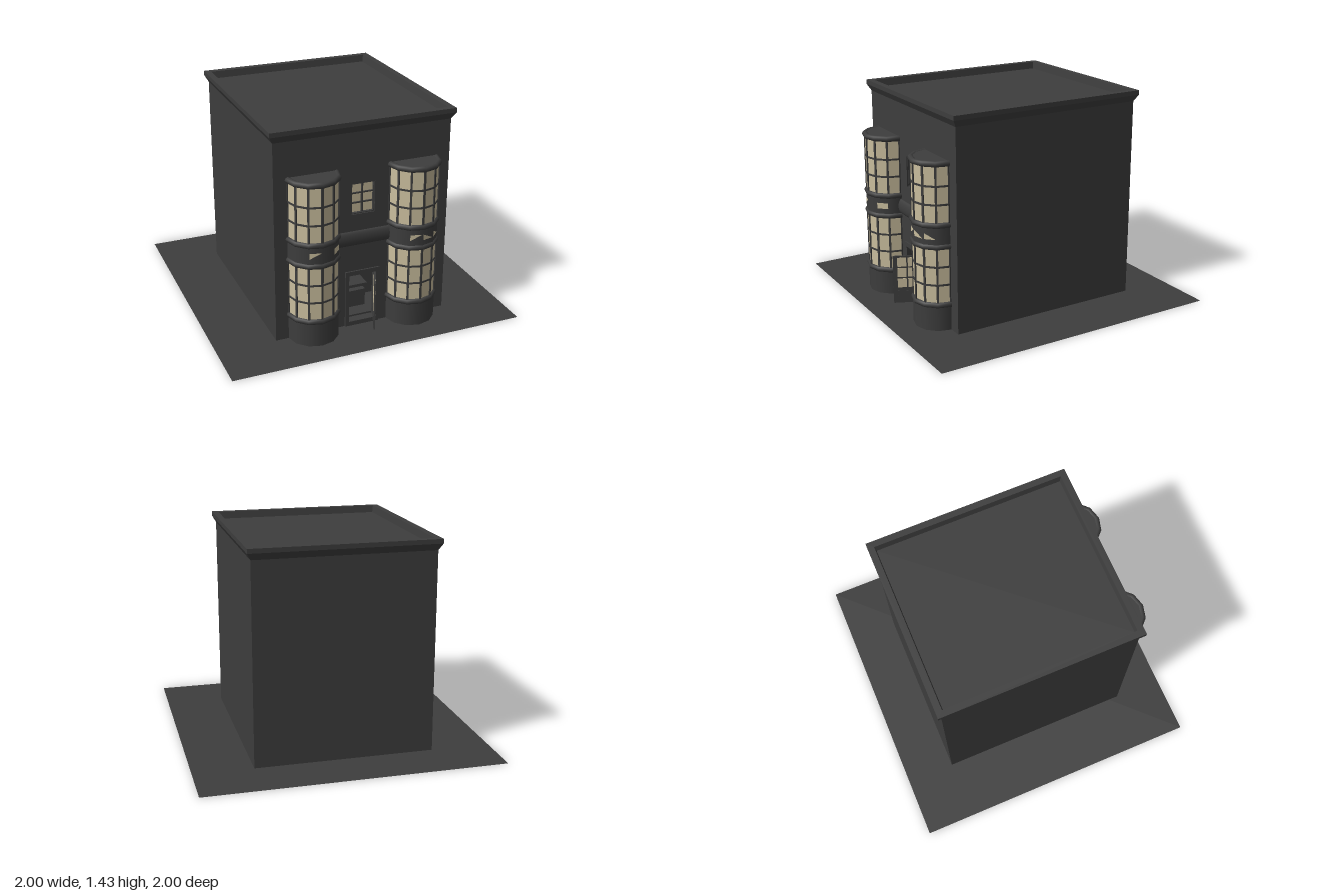
import * as THREE from 'three';

const wallMat = new THREE.MeshStandardMaterial({ color: 0x3d3d3d });
wallMat.name = 'charcoal';
const groundMat = new THREE.MeshStandardMaterial({ color: 0x3d3d3d, side: THREE.DoubleSide });
groundMat.name = 'charcoal ground';
const glassMat = new THREE.MeshStandardMaterial({ color: 0xc9bd9d, side: THREE.DoubleSide });
glassMat.name = 'warm cream glass';

function add(parent, name, geo, mat, x = 0, y = 0, z = 0) {
  const m = new THREE.Mesh(geo, mat);
  m.name = name;
  m.position.set(x, y, z);
  parent.add(m);
  return m;
}
const box = (p, name, w, h, d, x, y, z, mat = wallMat) =>
  add(p, name, new THREE.BoxGeometry(w, h, d), mat, x, y, z);

function rectPath(PathType, x0, y0, x1, y1) {
  return new PathType([[x0, y0], [x1, y0], [x1, y1], [x0, y1]].map(p => new THREE.Vector2(...p)));
}

// Rectangle with a rectangular hole, extruded along z
function frameGeometry(outer, holes, depth) {
  const s = rectPath(THREE.Shape, ...outer);
  holes.forEach(h => s.holes.push(rectPath(THREE.Path, ...h)));
  return new THREE.ExtrudeGeometry(s, { depth, bevelEnabled: false });
}

// Cornice: sweep a profile of [outset, y] around the rectangular plan
function corniceGeometry(hx, hz, profile) {
  const corners = [[1, 1], [1, -1], [-1, -1], [-1, 1]];
  const pos = [];
  const pt = ([sx, sz], [o, y]) => [sx * (hx + o), y, sz * (hz + o)];
  for (let i = 0; i < 4; i++) {
    const c0 = corners[i], c1 = corners[(i + 1) % 4];
    for (let j = 0; j < profile.length - 1; j++) {
      const a = pt(c0, profile[j]), b = pt(c1, profile[j]);
      const c = pt(c1, profile[j + 1]), d = pt(c0, profile[j + 1]);
      pos.push(...a, ...b, ...c, ...a, ...c, ...d);
    }
  }
  const g = new THREE.BufferGeometry();
  g.setAttribute('position', new THREE.Float32BufferAttribute(pos, 3));
  g.computeVertexNormals();
  return g;
}

// Half cylinder of six facets facing +z
const halfRound = (r, h, open = true) =>
  new THREE.CylinderGeometry(r, r, h, 6, 1, open, -Math.PI / 2, Math.PI);

function makeBay(name, x, accents) {
  const bay = new THREE.Group();
  bay.name = name;
  bay.position.set(x, 0, 0.668);
  add(bay, 'bayBase', halfRound(0.168, 0.175, false), wallMat, 0, 0.0875);
  add(bay, 'bayMiddlePanel', halfRound(0.168, 0.14, false), wallMat, 0, 0.64);
  add(bay, 'bayRoof', halfRound(0.168, 0.03, false), wallMat, 0, 1.107);
  for (const [y0, y1] of [[0.175, 0.57], [0.71, 1.1]]) {
    const h = y1 - y0, mid = (y0 + y1) / 2;
    const glass = halfRound(0.163, h).toNonIndexed();
    glass.computeVertexNormals();
    add(bay, 'bayGlass', glass, glassMat, 0, mid);
    for (let i = 1; i < 3; i++)
      add(bay, 'bayCrossBar', halfRound(0.168, 0.012, false), wallMat, 0, y0 + 0.015 + i * (h - 0.03) / 3);
    for (let i = 0; i <= 6; i++) {
      const a = (i - 3) * Math.PI / 6;
      box(bay, 'bayMullion', 0.014, h, 0.012, Math.sin(a) * 0.162, mid, Math.cos(a) * 0.162).rotation.y = a;
    }
  }
  for (const y of [0.175, 0.568, 0.71, 1.107])
    add(bay, 'bayRing', new THREE.TorusGeometry(0.16, 0.02, 8, 6, Math.PI).rotateX(Math.PI / 2), wallMat, 0, y);

  // Cream slivers on the middle panel: [facet, corners as (along, up)]
  for (const [facet, pts] of accents) {
    const a = (facet + 0.5) * Math.PI / 6;
    const g = new THREE.ShapeGeometry(new THREE.Shape(pts.map(([u, v]) => new THREE.Vector2(u * 0.078, v * 0.04))));
    const r = 0.168 * Math.cos(Math.PI / 12) + 0.001;
    add(bay, 'panelAccent', g, glassMat, Math.sin(a) * r, 0.62, Math.cos(a) * r).rotation.y = a;
  }
  return bay;
}

function makeDoor() {
  const door = new THREE.Group();
  door.name = 'openDoor';
  door.position.set(0.09, 0.035, 0.665);
  door.rotation.y = 1.16;
  box(door, 'doorLeaf', 0.186, 0.335, 0.01, -0.093, 0.1675, 0);
  for (let i = 0; i < 2; i++)
    for (let j = 0; j < 3; j++)
      box(door, 'doorPane', 0.06, 0.064, 0.013, -0.058 - i * 0.07, 0.143 + j * 0.074, 0, glassMat);
  box(door, 'doorLowerPanel', 0.13, 0.07, 0.014, -0.093, 0.052, 0);
  return door;
}

export function createModel() {
  const model = new THREE.Group();
  model.name = 'townHouse';

  add(model, 'ground', new THREE.PlaneGeometry(2, 2).rotateX(-Math.PI / 2), groundMat);

  // Walls and roof
  const doorway = [-0.095, 0.03, 0.095, 0.37], opening = [-0.08, 0.8, 0.08, 1.01];
  add(model, 'frontWall', frameGeometry([-0.6, 0, 0.6, 1.37], [doorway, opening], 0.05), wallMat, 0, 0, 0.618);
  box(model, 'backWall', 1.2, 1.37, 0.04, 0, 0.685, -0.648);
  for (const s of [-1, 1]) box(model, 'sideWall', 0.04, 1.37, 1.246, s * 0.58, 0.685, -0.005);
  box(model, 'roof', 1.18, 0.02, 1.32, 0, 1.372, 0);
  add(model, 'cornice', corniceGeometry(0.6, 0.668,
    [[0, 1.355], [0.025, 1.4], [0.025, 1.43], [-0.018, 1.43], [-0.026, 1.38]]), wallMat);

  // Small upper window
  box(model, 'windowGlass', 0.16, 0.21, 0.006, 0, 0.905, 0.635, glassMat);
  add(model, 'windowFrame', frameGeometry(opening, [[-0.074, 0.806, 0.074, 1.004]], 0.02), wallMat, 0, 0, 0.64);
  box(model, 'windowMullion', 0.01, 0.2, 0.014, 0, 0.905, 0.645);
  for (const y of [0.872, 0.938]) box(model, 'windowCrossBar', 0.15, 0.008, 0.012, 0, y, 0.645);

  // Rounded band between the bays
  const band = add(model, 'middleBand',
    new THREE.CylinderGeometry(0.05, 0.05, 0.38, 12, 1, false, 0, Math.PI).rotateZ(Math.PI / 2).rotateX(Math.PI / 2),
    wallMat, 0, 0.635, 0.668);
  band.scale.z = 0.4;

  // Doorway, door and the room behind it
  add(model, 'doorFrame', frameGeometry([-0.12, 0, 0.12, 0.4], [doorway], 0.016), wallMat, 0, 0, 0.662);
  model.add(makeDoor());
  box(model, 'roomFloor', 1.1, 0.03, 1.2, 0, 0.015, 0);
  box(model, 'roomCounter', 0.3, 0.12, 0.1, -0.05, 0.09, 0.45);
  box(model, 'counterShelf', 0.32, 0.02, 0.12, -0.05, 0.19, 0.45);
  box(model, 'roomPartition', 0.6, 0.5, 0.01, 0, 0.25, 0.35);
  box(model, 'roomPicture', 0.075, 0.14, 0.006, -0.0575, 0.295, 0.358, glassMat);

  // Bay windows
  const tri = [[-0.5, 0], [0.5, 1], [-0.5, 1]];
  const fall = [[-0.5, 0], [0.5, 0], [-0.5, 1]];
  const strip = [[-0.5, 0], [0.5, 0], [0.5, 1], [-0.5, 1]];
  model.add(makeBay('rightBay', -0.345, [[-1, tri], [1, strip]]));
  model.add(makeBay('leftBay', 0.345, [[-1, tri], [0, fall], [1, fall]]));
  return model;
}
